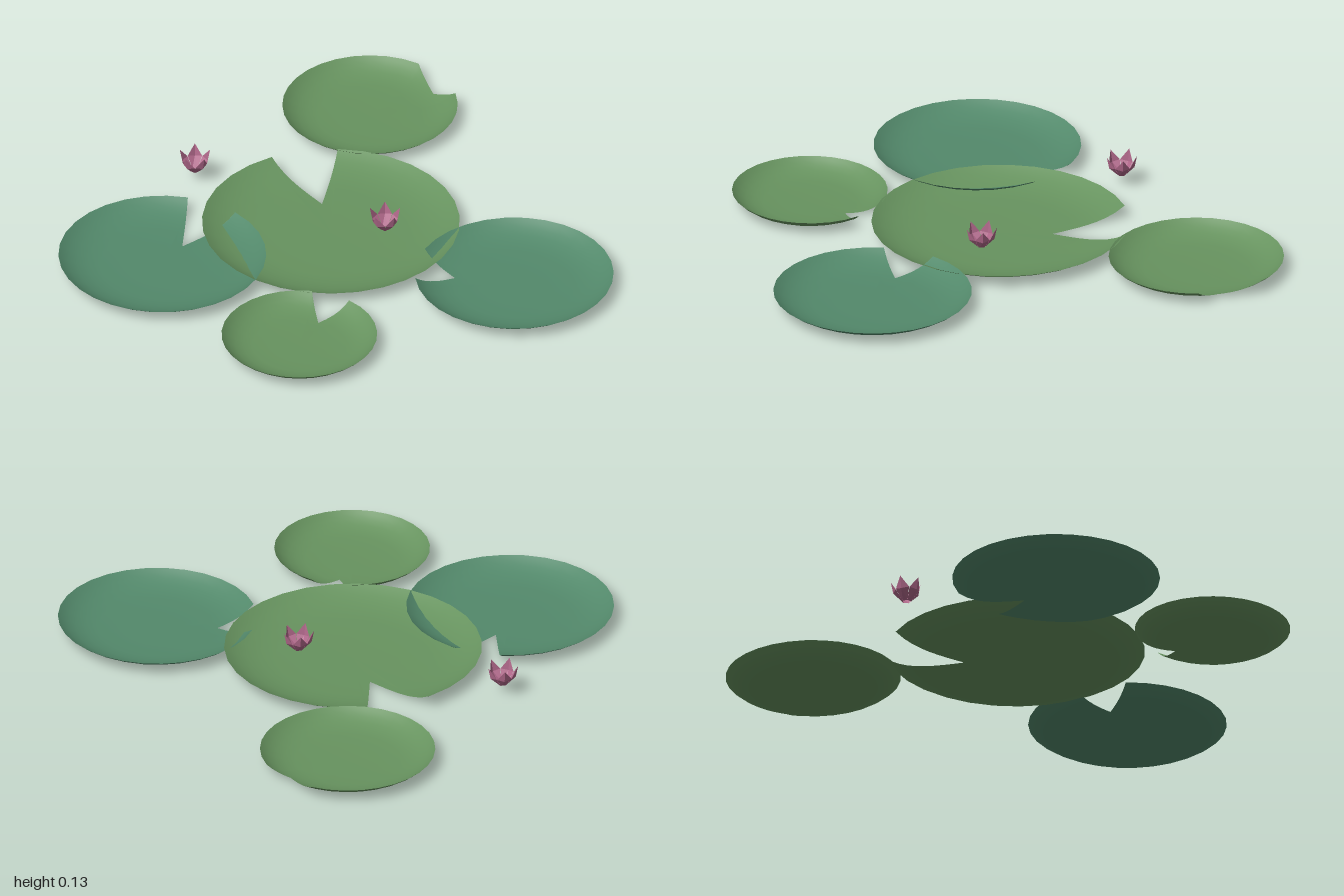
import * as THREE from 'three';

const RIM = 0.058, FLOOR = 0.004;

// Shallow dish with a wedge cut out: a, apex, b are the notch corners relative to the pad centre
function padGeometry(R, a, apex, b) {
  const outline = [];
  const angA = Math.atan2(a[1], a[0]);
  let angB = Math.atan2(b[1], b[0]);
  while (angB > angA) angB -= 2 * Math.PI;
  while (angB < angA) angB += 2 * Math.PI;
  const gap = angB - angA, sweep = 2 * Math.PI - gap, arcs = 28, cuts = 8;
  // Rim from corner b round to corner a, then along both notch edges
  for (let i = 0; i <= arcs; i++) {
    const t = angB + sweep * i / arcs;
    outline.push([R * Math.cos(t), R * Math.sin(t)]);
  }
  const cornerA = outline[arcs], cornerB = outline[0];
  const edge = (p, q) => {
    for (let i = 1; i <= cuts; i++) {
      outline.push([p[0] + (q[0] - p[0]) * i / cuts, p[1] + (q[1] - p[1]) * i / cuts]);
    }
  };
  edge(cornerA, apex);
  edge(apex, cornerB);
  outline.pop();

  const rings = [0.35, 0.6, 0.72, 0.82, 0.9, 0.96, 1];
  const n = outline.length, pos = [0, FLOOR, 0], index = [];
  for (const s of rings) {
    for (const [x, z] of outline) {
      const t = Math.hypot(x, z) * s / R;
      pos.push(x * s, FLOOR + (RIM - FLOOR) * Math.pow(t, 6), z * s);
    }
  }
  for (let i = 0; i < n; i++) {
    const j = (i + 1) % n;
    index.push(0, 1 + j, 1 + i);
    for (let k = 0; k < rings.length - 1; k++) {
      const p = 1 + k * n, q = p + n;
      index.push(p + i, p + j, q + i, p + j, q + j, q + i);
    }
  }
  const g = new THREE.BufferGeometry();
  g.setAttribute('position', new THREE.Float32BufferAttribute(pos, 3));
  g.setIndex(index);
  g.computeVertexNormals();
  return g;
}

// Pointed petal, creased along the middle, leaning out along +x
function petalGeometry() {
  const v = [
    [0.014, 0, -0.01], [0.014, 0, 0.01],         // base
    [0.04, 0.042, -0.028], [0.04, 0.042, 0.028], // widest points
    [0.052, 0.036, 0],                           // crease
    [0.062, 0.085, 0],                           // tip
  ];
  const faces = [0, 4, 1, 0, 2, 4, 1, 4, 3, 2, 5, 4, 4, 5, 3];
  const g = new THREE.BufferGeometry();
  g.setAttribute('position', new THREE.Float32BufferAttribute(faces.flatMap(i => v[i]), 3));
  g.computeVertexNormals();
  return g;
}

export function createModel() {
  const model = new THREE.Group();
  model.name = 'lilyPads';

  // Pads: centre, radius, notch corners in plan (x, z)
  const pads = [
    { name: 'largePad', c: [-0.1, -0.07], r: 0.5, a: [-0.49, -0.39], apex: [-0.28, -0.16], b: [-0.6, -0.15], color: 0x67935f },
    { name: 'backRightPad', c: [-0.66, -0.67], r: 0.34, a: [-0.52, -1], apex: [-0.62, -0.945], b: [-0.78, -1], color: 0x67935f },
    { name: 'backLeftPad', c: [0.61, -0.43], r: 0.385, a: [0.27, -0.25], apex: [0.44, -0.27], b: [0.41, -0.1], color: 0x53896b },
    { name: 'frontRightPad', c: [-0.305, 0.59], r: 0.403, a: [-0.37, 0.19], apex: [-0.365, 0.45], b: [-0.56, 0.28], color: 0x53896b },
    { name: 'frontLeftPad', c: [0.455, 0.49], r: 0.302, a: [0.38, 0.19], apex: [0.375, 0.34], b: [0.245, 0.275], color: 0x67935f },
  ];
  for (const { name, c, r, a, apex, b, color } of pads) {
    const local = p => [p[0] - c[0], p[1] - c[1]];
    const first = local(a), second = local(b);
    // Order the corners so that the notch is the short way round
    const swap = first[0] * second[1] - first[1] * second[0] < 0;
    const geo = padGeometry(r, swap ? second : first, local(apex), swap ? first : second);
    const pad = new THREE.Mesh(geo, new THREE.MeshStandardMaterial({ color, side: THREE.DoubleSide }));
    pad.name = name;
    pad.position.set(c[0], 0, c[1]);
    model.add(pad);
  }

  // Flowers: five petals around an open base
  const petalGeo = petalGeometry();
  const pink = new THREE.MeshStandardMaterial({ color: 0xb0688a, flatShading: true, side: THREE.DoubleSide });
  for (const [name, x, z] of [['padFlower', 0.05, -0.22], ['looseFlower', -0.71, 0.135]]) {
    const flower = new THREE.Group();
    flower.name = name;
    flower.position.set(x, 0.045, z);
    for (let i = 0; i < 5; i++) {
      const petal = new THREE.Mesh(petalGeo, pink);
      petal.name = 'petal';
      petal.rotation.y = i * 2 * Math.PI / 5;
      flower.add(petal);
    }
    model.add(flower);
  }
  return model;
}
